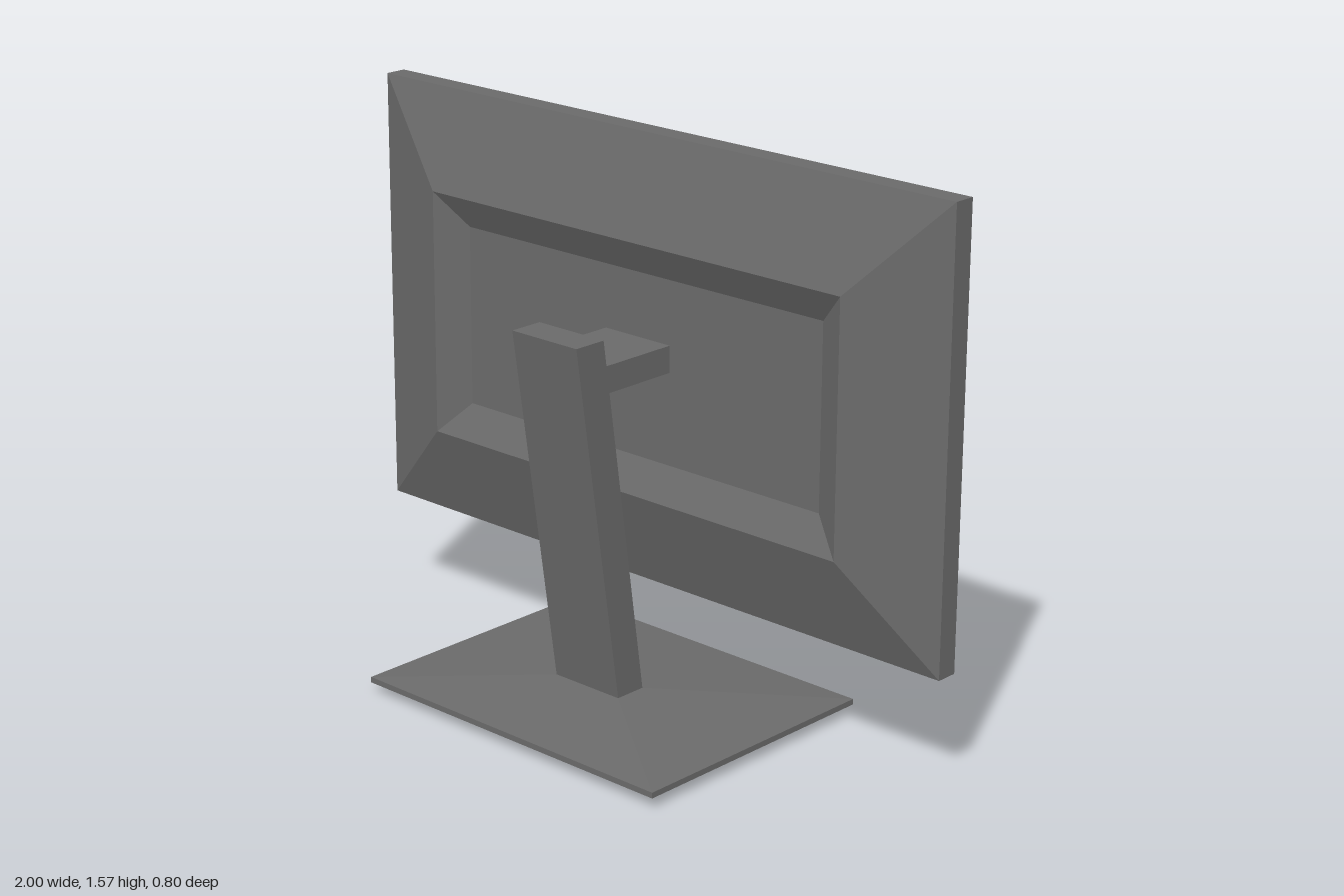
import * as THREE from 'three';

const makeMaterial = (color) => new THREE.MeshStandardMaterial({ color, flatShading: true });

// Joins rectangular rings [x0, x1, y0, y1, z] in order; optional flat ends.
function loft(rings, capStart, capEnd) {
  const loops = rings.map(([x0, x1, y0, y1, z]) => [[x0, y0, z], [x1, y0, z], [x1, y1, z], [x0, y1, z]]);
  const positions = [];
  const quad = (a, b, c, d) => positions.push(...a, ...b, ...c, ...a, ...c, ...d);
  for (let i = 0; i < loops.length - 1; i++) {
    for (let j = 0; j < 4; j++) {
      const k = (j + 1) % 4;
      quad(loops[i][j], loops[i][k], loops[i + 1][k], loops[i + 1][j]);
    }
  }
  if (capStart) quad(...[...loops[0]].reverse());
  if (capEnd) quad(...loops[loops.length - 1]);
  const geometry = new THREE.BufferGeometry();
  geometry.setAttribute('position', new THREE.Float32BufferAttribute(positions, 3));
  geometry.computeVertexNormals();
  return geometry;
}

export function createModel() {
  const model = new THREE.Group();
  model.name = 'monitor';
  const dark = makeMaterial(0x6a6a6a);
  const light = makeMaterial(0xcccccc);

  const add = (name, geometry, material = dark) => {
    const mesh = new THREE.Mesh(geometry, material);
    mesh.name = name;
    model.add(mesh);
    return mesh;
  };

  // Housing: sloped bezel, rim, tapered shell and recessed rear panel
  const midY = 0.945;
  const ring = (hx, hy, z) => [-hx, hx, midY - hy, midY + hy, z];
  add('housing', loft([
    ring(0.953, 0.575, -0.18),
    ring(1, 0.622, -0.21),
    ring(1, 0.622, -0.148),
    ring(0.725, 0.349, -0.055),
    ring(0.632, 0.256, -0.105),
  ], false, true));

  // Display surface, facing -z
  const screen = add('screen', new THREE.PlaneGeometry(1.906, 1.15), light);
  screen.rotation.y = Math.PI;
  screen.position.set(0, midY, -0.18);

  // Small button on the lower bezel
  const button = add('powerButton', new THREE.CylinderGeometry(0.01, 0.01, 0.02, 12), light);
  button.rotation.x = Math.PI / 2;
  button.position.set(-0.77, 0.348, -0.198);

  // Foot: bevelled underside, thin rim and shallow pyramid top
  const foot = loft([
    [-0.47, 0.47, -0.35, 0.35, 0],
    [-0.525, 0.525, -0.398, 0.398, 0.03],
    [-0.525, 0.525, -0.398, 0.398, 0.046],
    [-0.115, 0.115, -0.09, 0.005, 0.08],
  ], true, true);
  foot.rotateX(-Math.PI / 2);
  add('base', foot);

  // Leaning column
  const column = loft([
    [-0.115, 0.115, -0.09, 0.005, 0.08],
    [-0.115, 0.115, -0.245, -0.145, 1.094],
  ], true, true);
  column.rotateX(-Math.PI / 2);
  add('column', column);

  // Arm from the column into the rear recess
  const arm = add('arm', new THREE.BoxGeometry(0.23, 0.075, 0.28));
  arm.position.set(0, 0.985, 0.035);

  return model;
}
